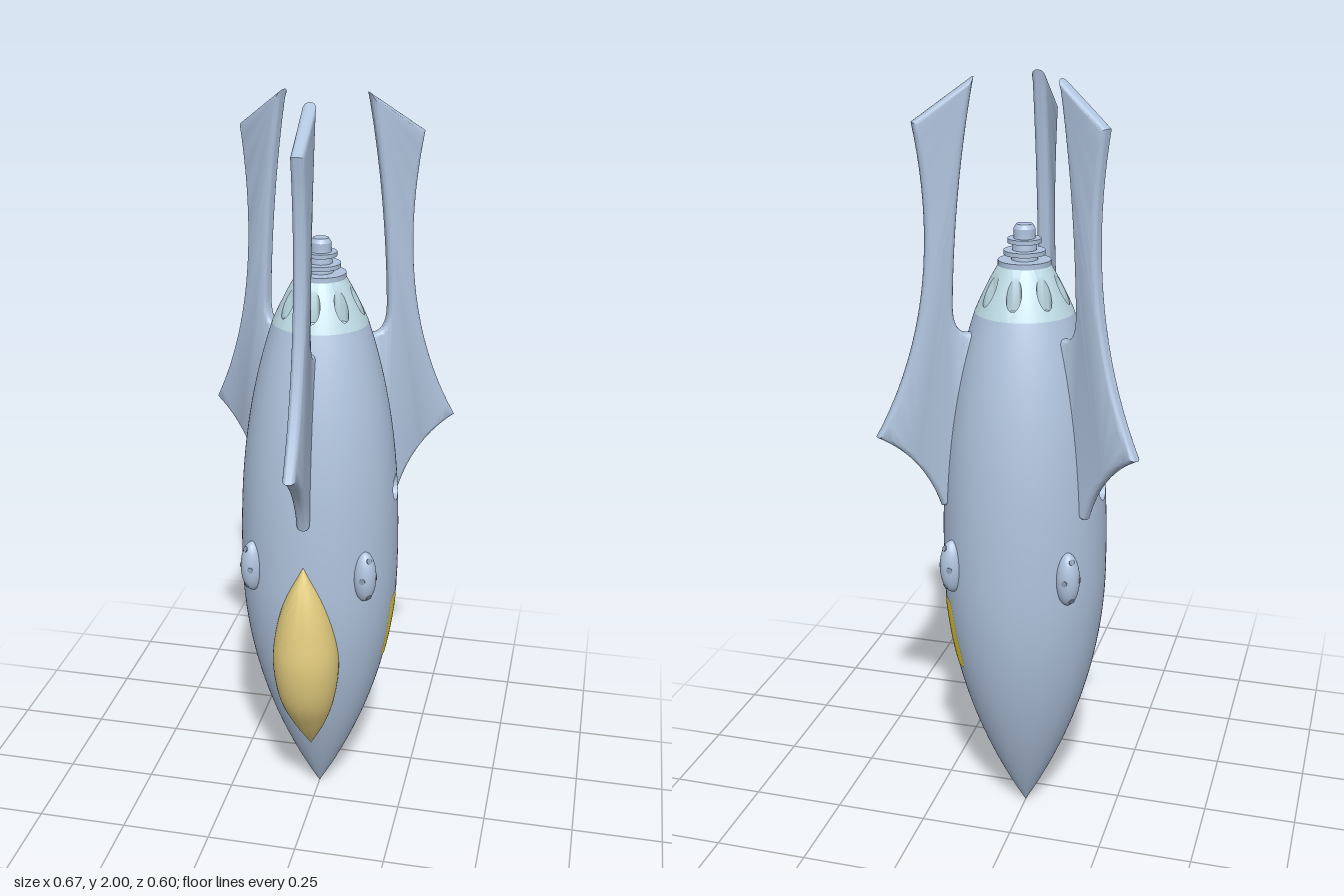
import * as THREE from 'three';
import { toCreasedNormals } from 'three/addons/utils/BufferGeometryUtils.js';

const { sin, cos, asin, abs, max, sqrt, sign, PI } = Math;
const AXIS_Z = -0.083;
const mat = (color) => new THREE.MeshStandardMaterial({ color, side: THREE.DoubleSide });
const steel = mat(0xb0c4de), pale = mat(0xbfdce6), gold = mat(0xe6cf80), yellow = mat(0xf2d53c), dark = mat(0x8c9db3);

const V = (x, y, z) => new THREE.Vector3(x, y, z);

// hull radius at height y: pointed below, blunter above
const hullR = (y) => 0.215 * (y < 0.75
  ? 1 - ((0.75 - y) / 0.75) ** 2
  : 1 - 0.42 * ((y - 0.75) / 0.68) ** 2.5);

// closed loops of points joined into one surface; row(i, angle) gives a point
function loft(rows, cols, row) {
  const pos = [], idx = [];
  for (let i = 0; i < rows; i++)
    for (let j = 0; j < cols; j++) pos.push(...row(i, j / cols * 2 * PI).toArray());
  for (let i = 0; i < rows - 1; i++)
    for (let j = 0; j < cols; j++) {
      const a = i * cols + j, b = i * cols + (j + 1) % cols;
      idx.push(a, b, a + cols, b, b + cols, a + cols);
    }
  const g = new THREE.BufferGeometry();
  g.setAttribute('position', new THREE.Float32BufferAttribute(pos, 3));
  g.setIndex(idx);
  return toCreasedNormals(g, 0.6);
}

// direction stretched onto the unit square
const square = (a) => {
  const m = max(abs(cos(a)), abs(sin(a)));
  return [cos(a) / m, sin(a) / m];
};

export function createModel() {
  const model = new THREE.Group();
  model.name = 'rocket';
  const ship = new THREE.Group();
  ship.name = 'ship';
  ship.position.z = AXIS_Z;
  model.add(ship);
  const add = (name, geometry, material, parent = ship) => {
    const m = new THREE.Mesh(geometry, material);
    m.name = name;
    parent.add(m);
    return m;
  };

  // hull, leaving two gaps for the portholes
  const hull = (y0, y1, n, phi = 0, len = 2 * PI) => {
    const pts = [];
    for (let i = 0; i <= n; i++) {
      const y = y0 + (y1 - y0) * i / n;
      pts.push(new THREE.Vector2(max(0, hullR(y)), y));
    }
    return new THREE.LatheGeometry(pts, Math.round(96 * len / (2 * PI)), phi, len);
  };
  const portY = 0.98, portH = 0.05, gap = 0.26;
  add('lowerHull', hull(0, portY - portH, 48), steel);
  add('upperHull', hull(portY + portH, 1.43, 24), steel);
  for (const s of [0, 1])
    add('middleHull', hull(portY - portH, portY + portH, 6, PI / 2 + gap + s * PI, PI - 2 * gap), steel);

  // portholes: a recess with a narrow bore right through the hull
  const porthole = loft(9, 48, (i, a) => {
    if (i < 3) {
      const r = i < 2 ? 0.018 : 0.036;
      return V(i === 0 ? 0 : 0.185, portY + r * sin(a), r * cos(a));
    }
    const t = (i - 3) / 5, [u, v] = square(a);
    const y0 = portY + 0.036 * sin(a);
    const phi0 = asin(0.036 * cos(a) / hullR(y0));
    const y = y0 + (portY + portH * v - y0) * t;
    const phi = phi0 + (gap * u - phi0) * t;
    return V(hullR(y) * cos(phi), y, hullR(y) * sin(phi));
  });
  for (const s of [0, 1]) add('porthole', porthole, steel).rotation.y = s * PI;

  // collar: eight sectors, each with a round vertical well
  const r0 = 0.064, r1 = 0.125;
  const collarY = (r) => {
    const t = (r1 - r) / (r1 - r0);
    return 1.43 + 0.12 * t - 0.02 * t * (t - 1);
  };
  const well = (i, a) => {
    const rad = i === 0 ? 0 : 0.0185;
    const x = 0.096 + rad * cos(a), z = rad * sin(a);
    return V(x, i < 2 ? 1.448 : collarY(sqrt(x * x + z * z)), z);
  };
  const sector = loft(8, 48, (i, a) => {
    if (i < 3) return well(i, a);
    const t = (i - 2) / 5, [u, v] = square(a), rim = well(2, a);
    const r = (r0 + r1) / 2 + u * (r1 - r0) / 2, th = v * PI / 8;
    const x = rim.x + (r * cos(th) - rim.x) * t, z = rim.z + (r * sin(th) - rim.z) * t;
    return V(x, collarY(sqrt(x * x + z * z)), z);
  });
  for (let k = 0; k < 8; k++) add('collarSector', sector, pale).rotation.y = k * PI / 4;

  // stepped discs and cap above the collar
  const disc = (name, rTop, rBottom, y0, y1) =>
    add(name, new THREE.CylinderGeometry(rTop, rBottom, y1 - y0, 48), steel).position.y = (y0 + y1) / 2;
  disc('core', 0.025, 0.035, 1.54, 1.63);
  disc('disc', 0.066, 0.066, 1.545, 1.56);
  disc('disc', 0.052, 0.052, 1.573, 1.584);
  disc('disc', 0.042, 0.042, 1.602, 1.613);
  disc('cap', 0.027, 0.027, 1.618, 1.637);
  disc('capTop', 0.02, 0.027, 1.637, 1.648);

  // three swept fins with rounded edges
  const f = new THREE.Shape();
  f.moveTo(0.123, 2);
  f.lineTo(0.273, 1.9);
  f.bezierCurveTo(0.225, 1.65, 0.24, 1.38, 0.383, 1.13);
  f.quadraticCurveTo(0.265, 1.07, 0.222, 0.93);
  f.lineTo(0.17, 0.93);
  f.lineTo(0.09, 1.385);
  f.lineTo(0.145, 1.385);
  f.quadraticCurveTo(0.185, 1.385, 0.183, 1.46);
  f.quadraticCurveTo(0.175, 1.74, 0.123, 2);
  const finGeo = new THREE.ExtrudeGeometry(f, {
    depth: 0.002, bevelThickness: 0.016, bevelSize: 0.014, bevelOffset: -0.014, bevelSegments: 5, curveSegments: 20,
  }).translate(0, 0, -0.001);
  const finSmooth = toCreasedNormals(finGeo, 0.6);
  for (let k = 0; k < 3; k++) add('fin', finSmooth, steel).rotation.y = -PI / 2 + k * 2 * PI / 3;

  // bulging canopy: x = half width, y = height, z = centre line
  const spine = new THREE.CatmullRomCurve3([
    V(0, 0.21, 0.035), V(0.044, 0.3, 0.058), V(0.076, 0.4, 0.086), V(0.09, 0.52, 0.1),
    V(0.079, 0.62, 0.107), V(0.05, 0.72, 0.118), V(0, 0.82, 0.132),
  ]);
  add('canopy', loft(41, 48, (i, a) => {
    const p = spine.getPoint(i / 40);
    const w = max(0, p.x);
    return V(w * cos(a), p.y, p.z + w * sin(a));
  }), gold, model);

  // hatch: rounded rectangle laid on the left side of the hull
  const soft = (c) => sign(c) * abs(c) ** 0.2;
  add('hatch', loft(9, 96, (i, a) => {
    const t = i / 8;
    const y = 0.57 + 0.1 * t * soft(sin(a)), z = -0.047 + 0.092 * t * soft(cos(a));
    return V(sqrt((hullR(y) + 0.002) ** 2 - z * z), y, z);
  }), yellow);

  // four thruster pods, each with four small nozzles
  const size = V(0.031, 0.072, 0.033);
  for (let k = 0; k < 4; k++) {
    const pod = new THREE.Group();
    pod.name = 'thrusterPod';
    const a = PI / 4 + k * PI / 2;
    pod.position.set(0.216 * sin(a), 0.78, 0.216 * cos(a));
    pod.rotation.y = a;
    ship.add(pod);
    add('podShell', new THREE.SphereGeometry(1, 32, 24).scale(size.x, size.y, size.z), steel, pod);
    for (const [x, y] of [[0, 0.75], [0, -0.75], [0.75, 0], [-0.75, 0]]) {
      const d = V(x, y, sqrt(1 - x * x - y * y));
      const n = add('nozzle', new THREE.CylinderGeometry(0.008, 0.008, 0.008, 16), dark, pod);
      n.position.copy(d).multiply(size);
      const normal = d.clone().divide(size).normalize();
      n.position.addScaledVector(normal, -0.003);
      n.quaternion.setFromUnitVectors(V(0, 1, 0), normal);
    }
  }
  return model;
}
